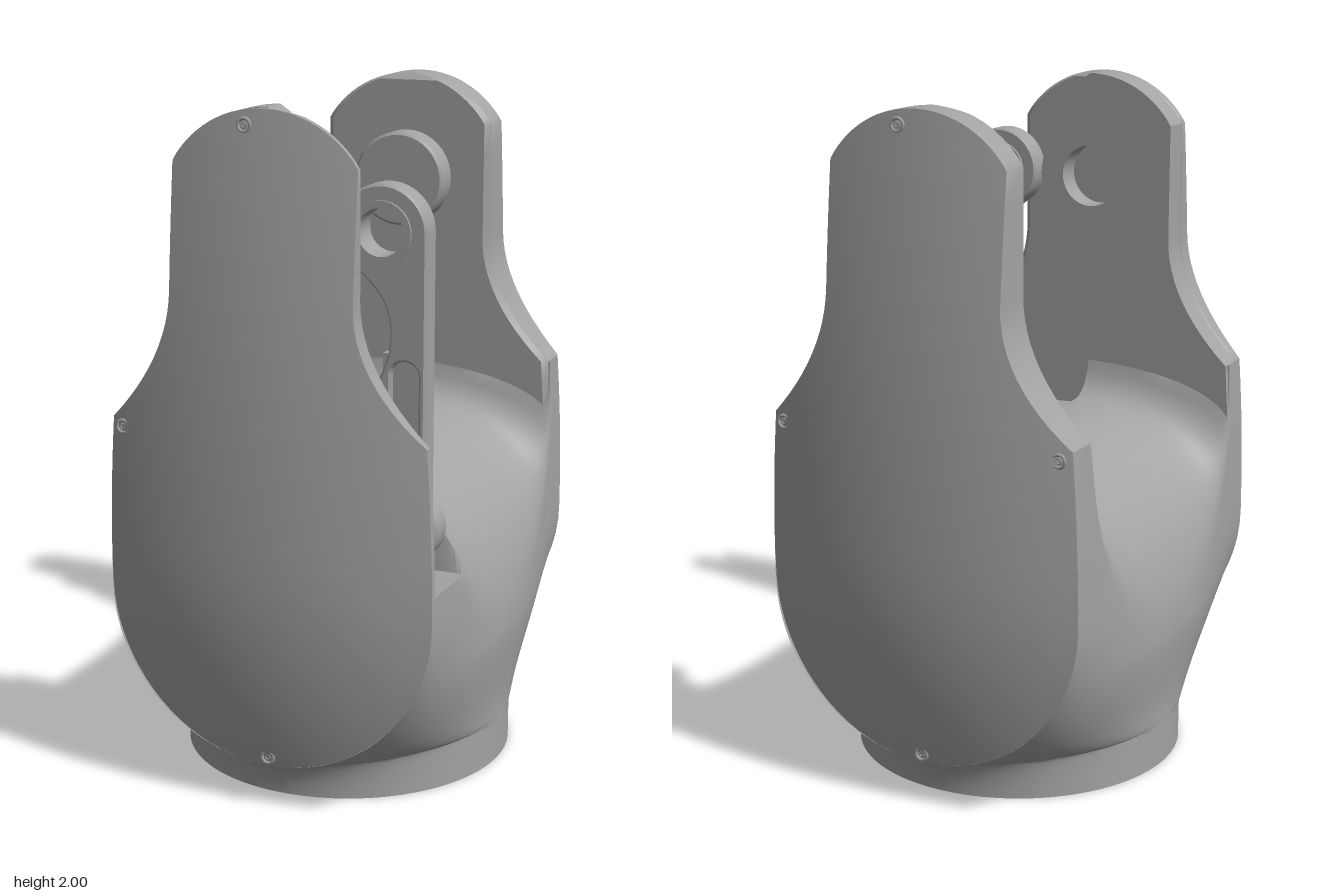
import * as THREE from 'three';
import { mergeGeometries, toCreasedNormals } from 'three/addons/utils/BufferGeometryUtils.js';

const grey = new THREE.MeshStandardMaterial({ color: 0xa3a3a3, side: THREE.DoubleSide });
grey.name = 'satin grey';

function part(name, geometry, x = 0, y = 0, z = 0) {
  const mesh = new THREE.Mesh(geometry, grey);
  mesh.name = name;
  mesh.position.set(x, y, z);
  return mesh;
}

// Surface through rows of [x, y, z] points
function skin(rows, closed = false, flip = false) {
  const n = rows[0].length, index = [];
  for (let i = 0; i + 1 < rows.length; i++) {
    for (let j = 0; j < (closed ? n : n - 1); j++) {
      const a = i * n + j, b = i * n + (j + 1) % n;
      if (flip) index.push(a, b, a + n, b, b + n, a + n);
      else index.push(a, a + n, b, b, a + n, b + n);
    }
  }
  const g = new THREE.BufferGeometry();
  g.setAttribute('position', new THREE.Float32BufferAttribute(rows.flat(2), 3));
  g.setIndex(index);
  return g;
}

// Half width of the arm and cover outline at height y
function halfWidth(y) {
  if (y > 1.85) return Math.sqrt(Math.max(0, 0.1024 - (y - 1.68) ** 2));
  if (y > 1.5) return 0.27;
  if (y > 1.12) return 0.27 + 0.2 * ((1.5 - y) / 0.38) ** 2;
  if (y > 0.62) return 0.49 - 0.02 * ((y - 0.62) / 0.5) ** 2;
  return Math.sqrt(Math.max(0, 0.2401 - (y - 0.62) ** 2));
}

// Domed outer face of the covers
function coverZ(x, y) {
  const v = y > 0.75 ? (y - 0.75) / 1.25 : (0.75 - y) / 0.62;
  return 0.69 - 0.09 * (x / 0.49) ** 2 - 0.09 * v * v;
}

// Heights of the outline rows, denser on the round ends
function outlineHeights() {
  const ys = [];
  for (let i = 0; i <= 20; i++) ys.push(0.62 - 0.49 * Math.cos(i / 20 * Math.PI / 2));
  for (let i = 1; i <= 8; i++) ys.push(0.62 + 0.5 * i / 8);
  for (let i = 1; i <= 12; i++) ys.push(1.12 + 0.38 * i / 12);
  for (let i = 1; i <= 4; i++) ys.push(1.5 + 0.35 * i / 4);
  const a0 = Math.asin(0.17 / 0.32);
  for (let i = 1; i <= 14; i++) ys.push(1.68 + 0.32 * Math.sin(a0 + (Math.PI / 2 - a0) * i / 14));
  return ys;
}

function armGeometry(inner) {
  const rows = outlineHeights().map((y) => {
    const w = halfWidth(y), c = Math.min(0.018, w / 2), zi = inner + Math.max(0, y - 1.98);
    const row = [[-w, y, zi + c], [-w + c, y, zi], [w - c, y, zi], [w, y, zi + c]];
    for (let i = 0; i <= 18; i++) {
      const x = w * (1 - i / 9);
      row.push([x, y, coverZ(x, y)]);
    }
    return row;
  });
  return toCreasedNormals(skin(rows, true), 0.6);
}

// Point on the lower body: t runs from the side (z = 0) to the cover edge
function bodyPoint(t, y) {
  const rise = THREE.MathUtils.smoothstep(y, 0.15, 0.43);
  const a = 0.497 + 0.028 * rise - 0.045 * Math.max(0, (y - 0.43) / 0.72);
  const w = y < 0.13 ? 0 : halfWidth(y);
  const zEnd = 0.6 - 0.1 * Math.sqrt(Math.max(0, 1 - (y / 0.13) ** 2));
  const s = 1 - t, b0 = s ** 3, b1 = 3 * s * s * t, b2 = 3 * s * t * t, b3 = t ** 3;
  return [a * (b0 + b1) + (0.276 + 0.215 * w / 0.49) * b2 + w * b3, y,
    0.276 * b1 + 0.5 * b2 + zEnd * b3];
}

// One quarter of the body: flared wall, then the saddle between the arms
function bodyQuarter(sx, sz) {
  const pocket = sx > 0 && sz > 0, cols = 48, rows = [];
  const rims = [];
  for (let j = 0; j <= cols; j++) {
    const t = j / cols, z = bodyPoint(t, 0.5)[2];
    const u = 0.43 + 0.69 * (1 - Math.sqrt(Math.max(0, 1 - (z / 0.5) ** 2)));
    rims.push({ t, z, u, cut: pocket && z > 0.365, y: pocket && z > 0.365 ? Math.min(u, 0.7) : u });
  }
  for (let i = 0; i <= 6; i++) {
    rows.push(rims.map((r) => bodyPoint(r.t, 0.13 * Math.sin(i / 6 * Math.PI / 2))));
  }
  for (let i = 1; i <= 24; i++) {
    rows.push(rims.map((r) => bodyPoint(r.t, 0.13 + (r.y - 0.13) * (i / 24) ** 1.7)));
  }
  const steps = Array.from({ length: 15 }, (_, k) => Math.cos((k + 1) / 16 * Math.PI / 2));
  for (const f of [...steps, 0.01, 0]) {
    rows.push(rims.map((r) => {
      const s = Math.min(1, Math.max(0, (r.z - 0.38) / 0.1));
      const crown = 0.98 + 0.12 * (1 - Math.sqrt(1 - s * s));
      let y = r.u + (crown - r.u) * Math.sqrt(1 - f * f);
      if (r.cut && f > 0) y = Math.min(y, 0.7);
      return [bodyPoint(r.t, r.y)[0] * f, y, Math.min(r.z, pocket && f > 0 ? 0.57 : 0.5)];
    }));
  }
  return skin(rows.map((row) => row.map(([x, y, z]) => [x * sx, y, z * sz])), false, sx * sz < 0);
}

function extrude(shape, depth, bevel = 0) {
  return toCreasedNormals(new THREE.ExtrudeGeometry(shape, {
    depth: depth - 2 * bevel, curveSegments: 20, bevelEnabled: bevel > 0,
    bevelThickness: bevel, bevelSize: bevel, bevelOffset: -bevel, bevelSegments: 1,
  }).translate(0, 0, bevel), 0.5);
}

function circleHole(x, y, r) {
  return new THREE.Path().absarc(x, y, r, 0, Math.PI * 2, true);
}

// Disc lying across the z axis, starting at z0
function disc(name, x, y, z0, r, depth) {
  const s = new THREE.Shape().absarc(x, y, r, 0, Math.PI * 2);
  return part(name, extrude(s, depth, 0.008), 0, 0, z0);
}

function roundedSlot(x0, x1, y0, y1) {
  const r = (x1 - x0) / 2;
  const p = new THREE.Path();
  p.moveTo(x0, y0).lineTo(x1, y0).lineTo(x1, y1 - r);
  p.absarc(x0 + r, y1 - r, r, 0, Math.PI, false);
  p.lineTo(x0, y0);
  return p;
}

function addScrews(group, spots) {
  for (const [x, y] of spots) {
    const z = coverZ(x, y);
    group.add(part('screwRim', new THREE.TorusGeometry(0.018, 0.005, 6, 20), x, y, z));
    group.add(part('screwSocket', new THREE.TorusGeometry(0.008, 0.003, 5, 6), x, y, z));
  }
}

// Inner slab of the front arm, cut away beside the lever, with the pivot bore
function frontLining() {
  const left = [], right = [];
  for (const y of outlineHeights().filter((v) => v >= 0.69)) left.push(new THREE.Vector2(-halfWidth(y), y));
  for (let i = 0; i <= 60; i++) {
    const y = 1.98 - 1.28 * i / 60;
    const boss = Math.sqrt(Math.max(0, 0.0289 - (y - 1.68) ** 2));
    const neck = 0.13 * THREE.MathUtils.smoothstep(y, 1.15, 1.5) * (y < 1.68 ? 1 : 0);
    right.push(new THREE.Vector2(Math.min(halfWidth(y), Math.max(0.03, boss, neck)), y));
  }
  const s = new THREE.Shape([...left, ...right]);
  s.holes.push(circleHole(0, 1.68, 0.095));
  return extrude(s, 0.085);
}

function lever() {
  const g = new THREE.Group();
  g.name = 'lever';
  const s = new THREE.Shape();
  s.moveTo(0.2, 0.7).lineTo(0.445, 0.7).lineTo(0.445, 1.68);
  s.absarc(0.318, 1.685, 0.127, 0, Math.PI * 1.25, false);
  s.bezierCurveTo(0.3, 1.54, 0.345, 1.5, 0.343, 1.4);
  s.bezierCurveTo(0.34, 1.3, 0.27, 1.25, 0.25, 1.12);
  s.lineTo(0.2, 0.7);
  s.holes.push(circleHole(0.318, 1.685, 0.072));
  s.holes.push(roundedSlot(0.345, 0.425, 1.13, 1.34), roundedSlot(0.32, 0.425, 0.93, 1.1));
  g.add(part('leverArm', extrude(s, 0.075, 0.006), 0, 0, 0.475));
  g.add(part('leverWeb', new THREE.BoxGeometry(0.12, 0.45, 0.03), 0.375, 1.13, 0.512));
  g.add(part('leverFoot', new THREE.BoxGeometry(0.2, 0.35, 0.03), 0.345, 0.875, 0.56));
  const ring = new THREE.Shape().absarc(0.318, 1.685, 0.085, 0, Math.PI * 2);
  ring.holes.push(circleHole(0.318, 1.685, 0.065));
  g.add(part('leverBush', extrude(ring, 0.092), 0, 0, 0.466));
  return g;
}

export function createModel() {
  const model = new THREE.Group();
  model.name = 'pivotYoke';

  // Flared body with its saddle, and the recessed foot
  const quarters = [[1, 1], [1, -1], [-1, 1], [-1, -1]].map(([sx, sz]) => bodyQuarter(sx, sz));
  model.add(part('body', toCreasedNormals(mergeGeometries(quarters), 0.6)));
  const foot = [[0, 0.05], [0.29, 0.05], [0.29, 0], [0.498, 0]].map(([r, y]) => new THREE.Vector2(r, y));
  model.add(part('foot', toCreasedNormals(new THREE.LatheGeometry(foot, 64), 0.5)));

  // Front arm with bore and lever recess
  const front = new THREE.Group();
  front.name = 'frontArm';
  front.add(part('frontCover', armGeometry(0.56)));
  front.add(part('frontLining', frontLining(), 0, 0, 0.48));
  addScrews(front, [[-0.05, 1.955], [-0.435, 1.095], [0, 0.16]]);
  model.add(front);

  // Back arm with pivot boss
  const back = new THREE.Group();
  back.name = 'backArm';
  back.add(part('backCover', armGeometry(0.48)));
  back.add(disc('pivotBoss', 0, 1.68, 0.4, 0.145, 0.09));
  addScrews(back, [[-0.05, 1.955], [-0.435, 1.095], [0.435, 1.095], [0, 0.16]]);
  back.rotation.y = Math.PI;
  model.add(back);

  // Lever and the small linkage in the pocket
  model.add(lever());
  const linkage = new THREE.Group();
  linkage.name = 'linkage';
  linkage.add(disc('largeRoller', 0.348, 0.84, 0.378, 0.103, 0.082));
  linkage.add(disc('smallRoller', 0.08, 0.83, 0.43, 0.083, 0.14));
  linkage.add(part('linkBar', new THREE.BoxGeometry(0.27, 0.08, 0.028), 0.18, 0.84, 0.448));
  linkage.add(part('guidePlate', new THREE.BoxGeometry(0.36, 0.12, 0.014), 0.2, 0.88, 0.372));
  model.add(linkage);
  return model;
}
